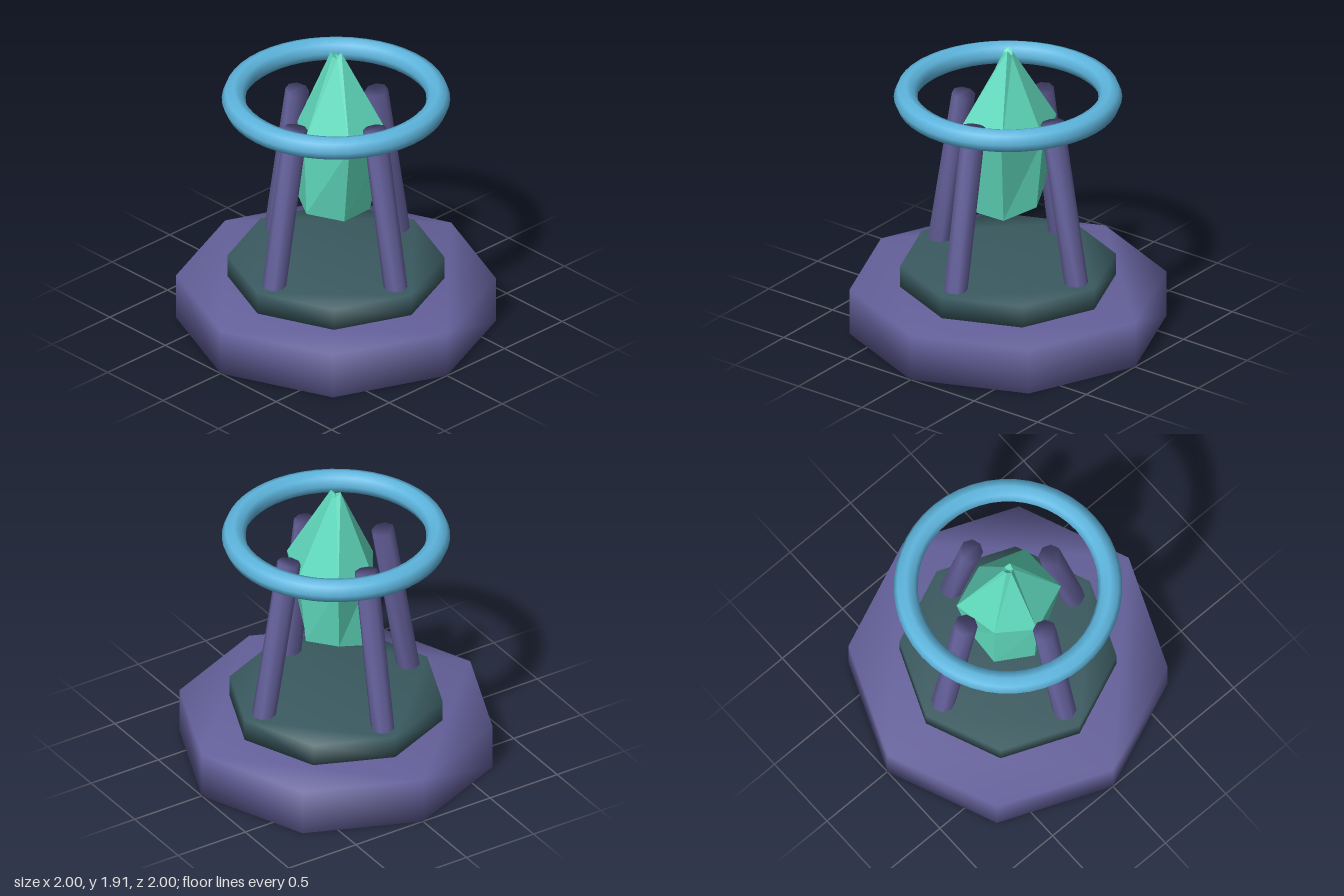
import * as THREE from 'three';
import { mergeVertices } from 'three/addons/utils/BufferGeometryUtils.js';

const material = (name, color, options = {}) => {
  const m = new THREE.MeshStandardMaterial({ color, ...options });
  m.name = name;
  return m;
};

// Eight-sided upright prism standing on y = 0, corners on the axes, normals shared over the edges
function octagonPrism(radius, height) {
  const corners = [];
  for (let i = 0; i < 8; i++) {
    const a = (i * Math.PI) / 4;
    corners.push(new THREE.Vector2(radius * Math.cos(a), radius * Math.sin(a)));
  }
  let geo = new THREE.ExtrudeGeometry(new THREE.Shape(corners), { depth: height, bevelEnabled: false, steps: 1 });
  geo.rotateX(-Math.PI / 2);
  geo.deleteAttribute('uv');
  geo.deleteAttribute('normal');
  geo = mergeVertices(geo, 1e-4);
  geo.computeVertexNormals();
  return geo;
}

// Faceted solid through stacked rings, closed by a fan at both ends
function ringSolid(rings, bottomCentre, topCentre) {
  const points = [];
  const tri = (...corners) => corners.forEach((c) => points.push(...c));
  const n = rings[0].length;
  for (let i = 0; i < n; i++) {
    const j = (i + 1) % n;
    for (let r = 0; r + 1 < rings.length; r++) {
      const lo = rings[r], hi = rings[r + 1];
      tri(lo[j], lo[i], hi[i]);
      tri(lo[j], hi[i], hi[j]);
    }
    tri(bottomCentre, rings[0][i], rings[0][j]);
    const top = rings[rings.length - 1];
    tri(topCentre, top[j], top[i]);
  }
  const geo = new THREE.BufferGeometry();
  geo.setAttribute('position', new THREE.Float32BufferAttribute(points, 3));
  geo.computeVertexNormals();
  return geo;
}

export function createModel() {
  const model = new THREE.Group();
  model.name = 'crystalShrine';
  const purple = material('purpleStone', 0x65619c);
  const teal = material('darkTealStone', 0x3a5a60);
  const blue = material('blueRing', 0x5eb6df);
  const green = material('greenCrystal', 0x60dabd, { flatShading: true });

  const add = (name, geometry, mat, y = 0, parent = model) => {
    const mesh = new THREE.Mesh(geometry, mat);
    mesh.name = name;
    mesh.position.y = y;
    parent.add(mesh);
    return mesh;
  };

  // Stepped base
  add('base', octagonPrism(1, 0.305), purple);
  add('plinth', octagonPrism(0.68, 0.15), teal, 0.3);

  // Four pillars leaning inwards
  const pillarGeo = octagonPrism(0.075, 1.122);
  for (let i = 0; i < 4; i++) {
    const pivot = new THREE.Group();
    pivot.name = 'pillar' + (i + 1);
    pivot.rotation.y = (i * Math.PI) / 2;
    const pillar = add('pillarShaft', pillarGeo, purple, 0.4, pivot);
    pillar.position.x = 0.545;
    pillar.rotation.z = 0.175;
    model.add(pivot);
  }

  // Floating ring
  add('ring', new THREE.TorusGeometry(0.64, 0.075, 8, 48).rotateX(Math.PI / 2), blue, 1.585);

  // Irregular crystal; each ring runs right, front right, front left, left, back left, back right
  const lower = [[0.225, 0.88, 0], [0.11, 0.825, 0.19], [-0.11, 0.82, 0.19],
    [-0.257, 0.855, 0], [-0.12, 0.85, -0.22], [0.12, 0.92, -0.22]];
  const middle = [[0.277, 1.37, 0], [0.175, 1.375, 0.295], [-0.166, 1.4, 0.295],
    [-0.277, 1.37, 0], [-0.123, 1.38, -0.22], [0.165, 1.4, -0.283]];
  const tip = [[0.032, 1.875, 0], [0.018, 1.915, 0.03], [-0.016, 1.88, 0.028],
    [-0.033, 1.895, 0], [-0.016, 1.915, -0.028], [0.016, 1.89, -0.028]];
  add('crystal', ringSolid([lower, middle, tip], [0, 0.86, 0], [0, 1.88, 0]), green);

  return model;
}
